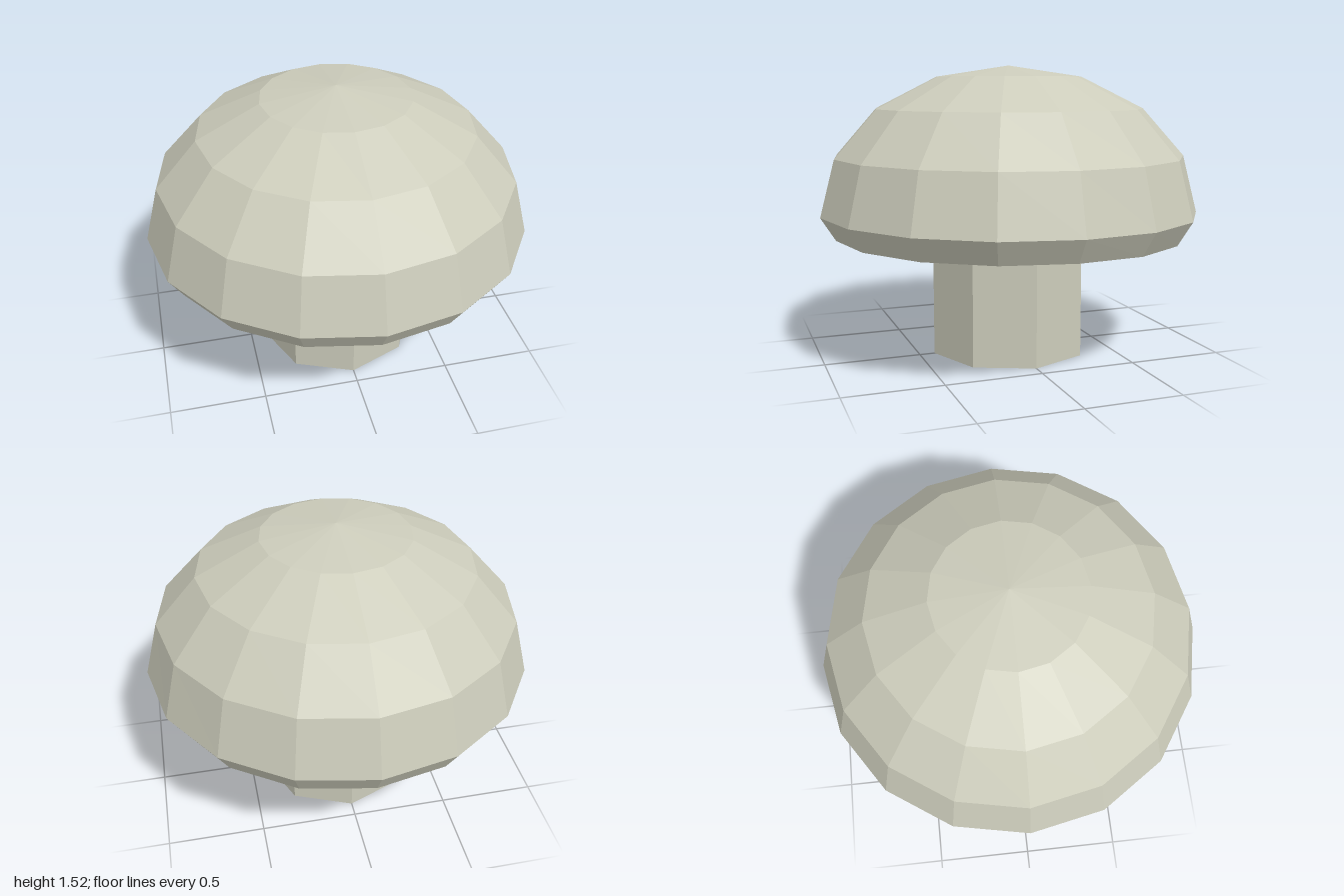
import * as THREE from 'three';

const stone = new THREE.MeshStandardMaterial({ color: 0xccccbb });
stone.name = 'paleStone';
const dark = new THREE.MeshStandardMaterial({ color: 0x6e484d });
dark.name = 'darkUnderside';

// Give every face its own flat normal
function faceted(geometry) {
  const flat = geometry.toNonIndexed();
  flat.computeVertexNormals();
  return flat;
}

function addPart(group, name, geometry, material) {
  const mesh = new THREE.Mesh(faceted(geometry), material);
  mesh.name = name;
  group.add(mesh);
}

export function createModel() {
  const group = new THREE.Group();
  group.name = 'mushroom';

  // Cap: recess wall, flat underside, bevelled rim, then a quarter-circle dome
  const profile = [[0.56, 0.76], [0.707, 0.64], [0.924, 0.64]];
  for (let i = 0; i < 5; i++) {
    const a = (i * Math.PI) / 8;
    profile.push([i === 4 ? 0 : Math.cos(a), 0.76 + 0.76 * Math.sin(a)]);
  }
  const cap = new THREE.LatheGeometry(profile.map(([r, y]) => new THREE.Vector2(r, y)), 16);

  // The rim droops slightly towards the back
  const p = cap.attributes.position;
  for (let i = 0; i < p.count; i++) {
    const r = Math.hypot(p.getX(i), p.getZ(i));
    if (p.getY(i) < 0.8 && r > 0.9) {
      const drop = p.getY(i) < 0.7 ? 0.018 : 0.01;
      p.setY(i, p.getY(i) - drop * Math.max(0, -p.getZ(i)));
    }
  }
  addPart(group, 'cap', cap, stone);

  // Dark ceiling of the recess under the cap
  const ceiling = new THREE.CircleGeometry(0.56, 16).rotateX(Math.PI / 2).translate(0, 0.76, 0);
  addPart(group, 'recessCeiling', ceiling, dark);

  // Octagonal stem
  addPart(group, 'stem', new THREE.CylinderGeometry(0.42, 0.42, 0.77, 8).translate(0, 0.385, 0), stone);

  return group;
}
